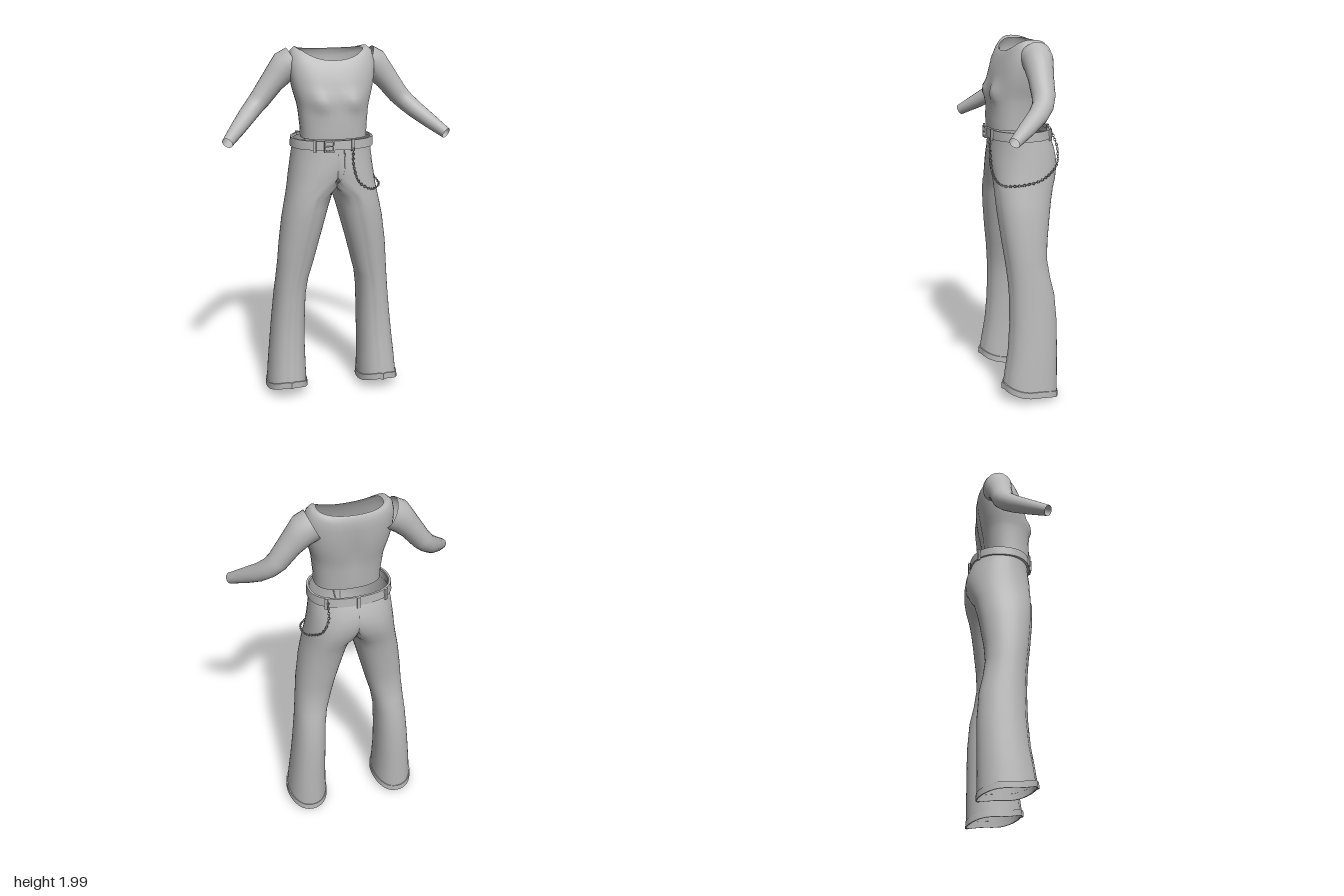
import * as THREE from 'three';
import { toCreasedNormals } from 'three/addons/utils/BufferGeometryUtils.js';

const SEG = 40;
const cloth = new THREE.MeshStandardMaterial({ color: 0xb8b8b8, side: THREE.DoubleSide });
cloth.name = 'greyCloth';

// Skins a list of closed rings (ordered top to bottom); side -1 mirrors in x
function loft(rings, side = 1) {
  const pos = [], idx = [], n = rings[0].length;
  for (const ring of rings) for (const p of ring) pos.push(p.x * side, p.y, p.z);
  for (let r = 0; r < rings.length - 1; r++) {
    for (let i = 0; i < n; i++) {
      const j = (i + 1) % n;
      const a = r * n + i, b = r * n + j, c = a + n, d = b + n;
      // Faces lying on the centre plane are left out so both halves join openly
      if ([a, b, c, d].every(k => Math.abs(pos[k * 3]) < 1e-5)) continue;
      if (side > 0) idx.push(a, b, c, b, d, c);
      else idx.push(a, c, b, b, c, d);
    }
  }
  const g = new THREE.BufferGeometry();
  g.setAttribute('position', new THREE.Float32BufferAttribute(pos, 3));
  g.setIndex(idx);
  g.computeVertexNormals();
  return g;
}

// Rounded outline between xi..xo and zb..zf, with heights at side, front and back
function outline(xi, xo, zf, zb, yS, yF = yS, yB = yS, e = 2.3) {
  const pts = [];
  for (let i = 0; i < SEG; i++) {
    const t = (i / SEG) * Math.PI * 2;
    const c = Math.cos(t), s = Math.sin(t);
    const bend = v => (Math.abs(v) < 1e-9 ? 0 : Math.sign(v) * Math.abs(v) ** (2 / e));
    const x = (xo + xi) / 2 + bend(c) * (xo - xi) / 2;
    const z = (zf + zb) / 2 + bend(s) * (zf - zb) / 2;
    pts.push(new THREE.Vector3(x, yS + ((s > 0 ? yF : yB) - yS) * s * s, z));
  }
  return pts;
}

function add(parent, name, geometry) {
  const m = new THREE.Mesh(geometry, cloth);
  m.name = name;
  parent.add(m);
  return m;
}

// Fitted top: half width, front z, back z, height at side, front, back
function torso() {
  const rows = [
    [0.175, 0.085, -0.13, 1.985, 1.93, 1.975], [0.2, 0.094, -0.14, 1.998, 1.92, 1.96],
    [0.225, 0.105, -0.146, 1.975, 1.9, 1.93], [0.238, 0.125, -0.145, 1.92, 1.86, 1.89],
    [0.235, 0.14, -0.14, 1.85, 1.81, 1.83], [0.222, 0.15, -0.132, 1.78, 1.765, 1.775],
    [0.21, 0.157, -0.125, 1.735], [0.2, 0.16, -0.118, 1.7], [0.194, 0.161, -0.112, 1.67],
    [0.19, 0.163, -0.106, 1.63], [0.184, 0.166, -0.1, 1.57], [0.183, 0.165, -0.093, 1.515],
  ];
  const rings = rows.map(([w, zf, zb, ...y]) => outline(-w, w, zf, zb, y[0], y[1], y[2], 2.4));
  for (const p of rings.slice(1).flat()) {
    if (p.z > 0.04) {
      const d = (Math.abs(p.x) - 0.095) ** 2 + (p.y - 1.715) ** 2;
      p.z += 0.026 * Math.exp(-d / 0.0022);
    } else if (p.z < -0.05) {
      p.z += 0.014 * Math.exp(-((p.x / 0.035) ** 2)) * Math.exp(-(((p.y - 1.75) / 0.13) ** 2));
    }
  }
  return loft(rings);
}

// Sleeve swept along a bent path: x, y, z, radius, depth radius
function sleeve(side) {
  const rows = [
    [0.205, 1.912, -0.045, 0.087, 0.085], [0.25, 1.89, -0.045, 0.087, 0.083],
    [0.285, 1.852, -0.043, 0.075, 0.076], [0.325, 1.807, -0.04, 0.065, 0.068],
    [0.39, 1.722, -0.034, 0.057, 0.062], [0.43, 1.68, -0.018, 0.052, 0.056],
    [0.475, 1.638, 0.022, 0.048, 0.052], [0.535, 1.586, 0.095, 0.041, 0.044],
    [0.605, 1.527, 0.183, 0.03, 0.03],
  ];
  const c = rows.map(r => new THREE.Vector3(r[0], r[1], r[2]));
  const rings = rows.map((row, k) => {
    const T = c[Math.min(k + 1, c.length - 1)].clone().sub(c[Math.max(k - 1, 0)]).normalize();
    const U = new THREE.Vector3(0, 0, 1).cross(T).normalize();
    const V = T.clone().cross(U);
    return Array.from({ length: 20 }, (_, i) => {
      const t = (i / 20) * Math.PI * 2;
      return c[k].clone().addScaledVector(U, Math.cos(t) * row[3]).addScaledVector(V, Math.sin(t) * row[4]);
    });
  });
  return loft(rings, side);
}

// One half of the trousers: y, outer x, inner x, front z, back z, hem tilt
function trouserHalf(side) {
  const rows = [
    [1.5, 0.215, -0.215, 0.15, -0.162, 0], [1.45, 0.22, -0.22, 0.156, -0.182, 0],
    [1.4, 0.227, -0.215, 0.16, -0.2, 0], [1.35, 0.233, -0.175, 0.163, -0.206, 0],
    [1.3, 0.24, -0.125, 0.162, -0.203, 0], [1.24, 0.248, -0.055, 0.159, -0.187, 0],
    [1.19, 0.257, 0.003, 0.155, -0.166, 0], [1.12, 0.272, 0.026, 0.152, -0.15, 0],
    [1.05, 0.286, 0.045, 0.147, -0.138, 0], [0.9, 0.306, 0.086, 0.13, -0.116, 0],
    [0.8, 0.314, 0.112, 0.117, -0.11, 0], [0.7, 0.323, 0.14, 0.107, -0.124, 0],
    [0.6, 0.333, 0.155, 0.102, -0.146, 0], [0.45, 0.348, 0.16, 0.104, -0.157, 0],
    [0.3, 0.363, 0.163, 0.115, -0.157, 0.004], [0.17, 0.376, 0.161, 0.135, -0.156, 0.015],
    [0.045, 0.386, 0.158, 0.15, -0.154, 0.036],
  ];
  const rings = rows.map(([y, xo, xi, zf, zb, tilt]) => {
    const ring = outline(xi, xo, zf, zb, y, y + tilt, y - tilt, 2.25);
    // Pressed crease down the front
    if (y < 1.2) ring[SEG / 4].z += 0.01;
    for (const p of ring) p.x = Math.max(p.x, 0);
    return ring;
  });
  return loft(rings, side);
}

// Turned hem around the trouser opening
function hem(side) {
  const ring = (o, y) => {
    const r = outline(0.158 - o, 0.386 + o, 0.15 + o, -0.154 - o, y, y + 0.036, y - 0.036, 2.25);
    r[SEG / 4].z += 0.01;
    return r;
  };
  return toCreasedNormals(loft([ring(-0.003, 0.077), ring(0.004, 0.077), ring(0.005, 0.042), ring(-0.002, 0.042)], side), 0.6);
}

function belt() {
  const ring = (o, y) => outline(-0.217 - o, 0.217 + o, 0.153 + o, -0.168 - o, y, y, y + 0.006);
  return toCreasedNormals(loft([ring(0, 1.508), ring(0.012, 1.508), ring(0.015, 1.458), ring(0, 1.458)]), 0.6);
}

// Hanging chain of small interlocked links
function chain() {
  const g = new THREE.Group();
  g.name = 'chain';
  const path = new THREE.CatmullRomCurve3([
    [0.08, 1.46, 0.175], [0.083, 1.37, 0.172], [0.115, 1.275, 0.168], [0.19, 1.225, 0.14],
    [0.258, 1.228, 0.06], [0.265, 1.245, -0.04], [0.24, 1.275, -0.115],
    [0.195, 1.325, -0.175], [0.165, 1.41, -0.185], [0.16, 1.49, -0.158],
  ].map(p => new THREE.Vector3(...p)));
  const link = new THREE.TorusGeometry(0.006, 0.002, 5, 8).scale(1.35, 1, 1);
  const count = 64, xAxis = new THREE.Vector3(1, 0, 0);
  for (let i = 0; i <= count; i++) {
    const m = add(g, 'chainLink', link);
    m.position.copy(path.getPointAt(i / count));
    m.quaternion.setFromUnitVectors(xAxis, path.getTangentAt(i / count));
    m.rotateX((i % 2) * Math.PI / 2);
  }
  return g;
}

// Rectangular frame with a prong
function buckle() {
  const g = new THREE.Group();
  g.name = 'buckle';
  const s = new THREE.Shape([[-0.028, -0.032], [0.028, -0.032], [0.028, 0.032], [-0.028, 0.032]].map(p => new THREE.Vector2(...p)));
  s.holes.push(new THREE.Path([[-0.02, -0.024], [-0.02, 0.024], [0.02, 0.024], [0.02, -0.024]].map(p => new THREE.Vector2(...p))));
  add(g, 'buckleFrame', new THREE.ExtrudeGeometry(s, { depth: 0.01, bevelEnabled: false }));
  add(g, 'bucklePin', new THREE.BoxGeometry(0.05, 0.005, 0.006)).position.z = 0.008;
  g.position.set(-0.052, 1.48, 0.163);
  return g;
}

export function createModel() {
  const model = new THREE.Group();
  model.name = 'outfit';
  add(model, 'top', torso());
  for (const side of [1, -1]) {
    const s = side > 0 ? 'left' : 'right';
    add(model, s + 'Sleeve', sleeve(side));
    add(model, s + 'TrouserHalf', trouserHalf(side));
    add(model, s + 'Hem', hem(side));
  }
  add(model, 'belt', belt());
  model.add(buckle(), chain());

  // Belt loops
  for (const [x, z, turn] of [[0.08, 0.164, 0.1], [-0.13, 0.152, -0.3], [0.165, -0.146, 0.6], [-0.165, -0.146, -0.6], [0, -0.183, 0]]) {
    const m = add(model, 'beltLoop', new THREE.BoxGeometry(0.016, 0.066, 0.012));
    m.position.set(x, 1.482, z);
    m.rotation.y = z > 0 ? turn : -turn;
  }

  // Fly seam
  const fly = new THREE.CatmullRomCurve3([[0.035, 1.455, 0.156], [0.036, 1.36, 0.161], [0.025, 1.3, 0.157], [0, 1.27, 0.148]]
    .map(p => new THREE.Vector3(...p)));
  add(model, 'flySeam', new THREE.TubeGeometry(fly, 16, 0.003, 5));
  return model;
}
